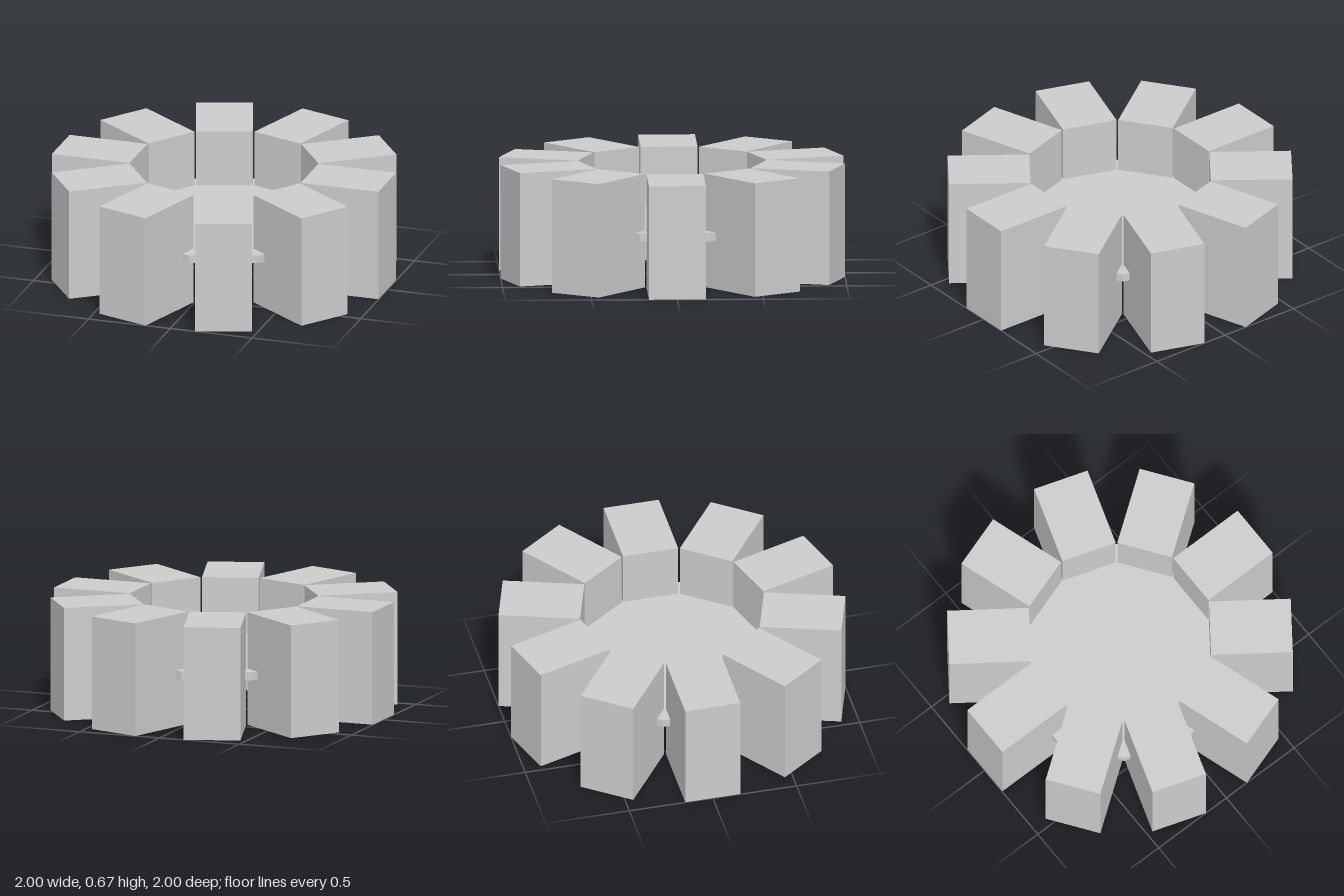
import * as THREE from 'three';

export function createModel() {
  const group = new THREE.Group();
  const grey = new THREE.MeshStandardMaterial({ color: 0xcccccc, flatShading: true });
  grey.name = 'light grey';

  const COUNT = 10, INNER = 0.523, OUTER = 0.998, WIDTH = 0.33, HEIGHT = 0.666;

  // Ring of upright blocks, one pointing straight out along x
  const blockShape = new THREE.BoxGeometry(OUTER - INNER, HEIGHT, WIDTH);
  blockShape.translate((INNER + OUTER) / 2, HEIGHT / 2, 0);
  for (let i = 0; i < COUNT; i++) {
    const block = new THREE.Mesh(blockShape, grey);
    block.name = `ringBlock${i + 1}`;
    block.rotation.y = (i / COUNT) * Math.PI * 2;
    group.add(block);
  }

  // Ten-sided floor plate whose corners poke out between the blocks
  const plate = new THREE.Mesh(new THREE.CylinderGeometry(0.663, 0.663, 0.048, COUNT), grey);
  plate.name = 'floorPlate';
  plate.position.y = 0.309;
  group.add(plate);

  return group;
}
